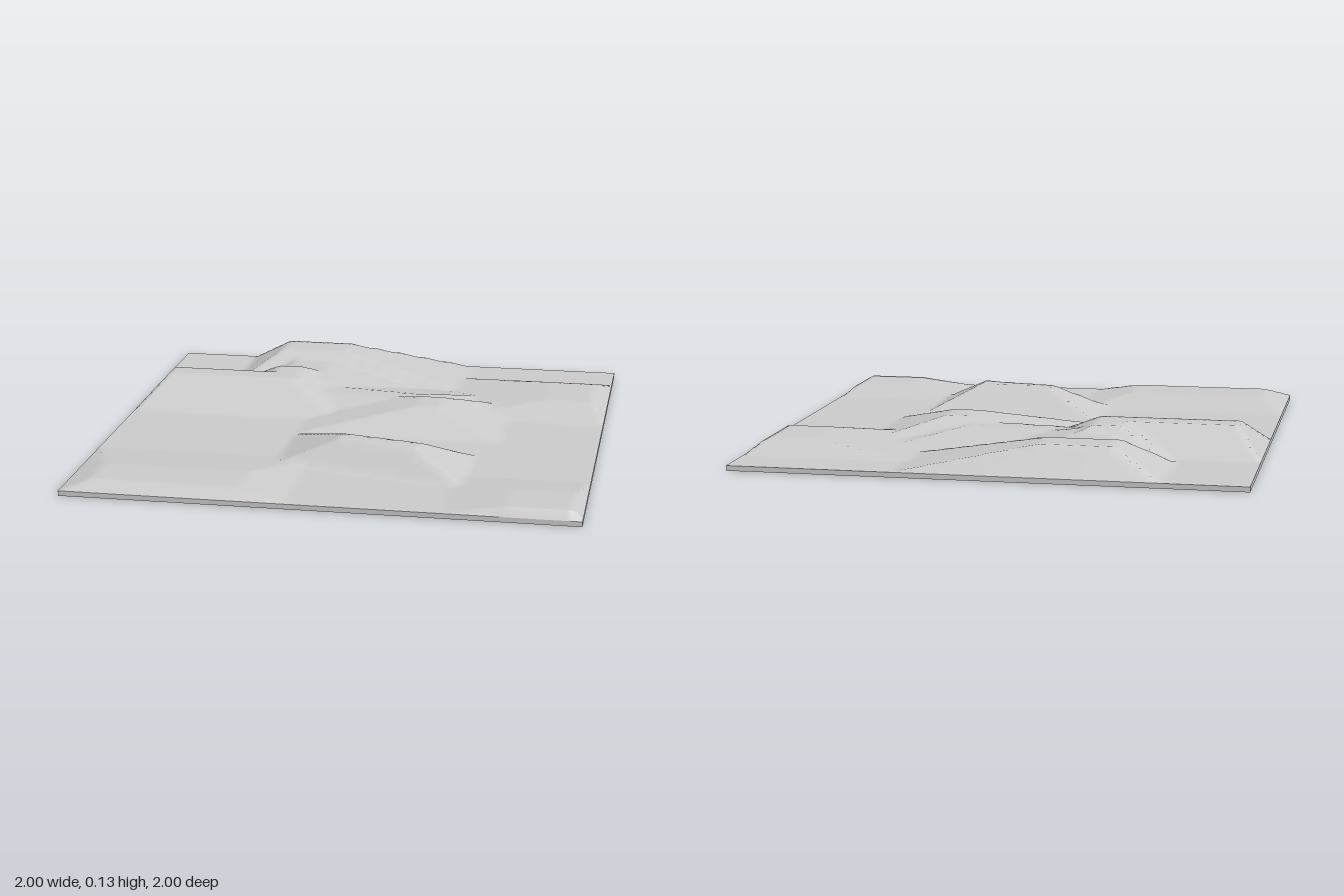
import * as THREE from 'three';

const BASE = 0.02;

// Each hill is a sloped mesa: x and z hold [foot, crest, crest, foot],
// h is its rise above the base, skew slides the crest along z as x grows.
const hills = [
  { x: [-1, -0.9, -0.35, -0.1], z: [-0.55, -0.38, -0.28, -0.07], h: 0.11 },       // left ridge
  { x: [-0.65, -0.45, -0.33, -0.1], z: [-0.64, -0.48, -0.28, -0.1], h: 0.11 },    // ridge shoulder
  { x: [-0.67, -0.49, -0.2, 0.35], z: [-1, -0.9, -0.75, -0.6], h: 0.11 },         // back hill
  { x: [-0.6, -0.42, -0.25, 0.15], z: [-1, -0.75, -0.4, -0.2], h: 0.08 },         // back saddle
  { x: [-0.5, -0.25, 0.2, 0.5], z: [-0.6, -0.32, -0.22, -0.05], h: 0.06, skew: 0.15 }, // middle saddle
  { x: [-0.25, 0.22, 0.32, 0.6], z: [-0.42, -0.22, -0.07, 0.13], h: 0.08 },       // middle hill
  { x: [-0.25, 0, 0.32, 0.52], z: [0.22, 0.44, 0.51, 0.62], h: 0.1, skew: 0.22 }, // front hill
  { x: [0.3, 0.75, 0.95, 1], z: [-0.8, -0.65, -0.38, -0.18], h: 0.045 },          // right rise
  { x: [-1, -0.89, -0.31, -0.12], z: [0.45, 0.75, 0.95, 1], h: 0.035 },           // front left rise
  { x: [0.47, 0.72, 0.97, 1], z: [0.56, 0.77, 0.98, 1], h: 0.032 },               // front right rise
];

// 0 outside the feet, 1 between the crests, straight slopes in between
function ramp(v, [a, b, c, d]) {
  return THREE.MathUtils.clamp(Math.min((v - a) / (b - a), (d - v) / (d - c)), 0, 1);
}

function rise(x, z) {
  let top = 0;
  for (const { x: xs, z: zs, h, skew = 0 } of hills) {
    const shifted = z - skew * (x - 0.15);
    top = Math.max(top, h * Math.min(ramp(x, xs), ramp(shifted, zs)));
  }
  return top;
}

export function createModel() {
  const group = new THREE.Group();
  group.name = 'terrainTile';

  // Thin slab whose upper face is lifted into hills; the rim stays at base height
  const geometry = new THREE.BoxGeometry(2, BASE, 2, 100, 1, 100);
  geometry.translate(0, BASE / 2, 0);
  const pos = geometry.attributes.position;
  const normal = geometry.attributes.normal;
  for (let i = 0; i < pos.count; i++) {
    if (normal.getY(i) > 0.5) pos.setY(i, BASE + rise(pos.getX(i), pos.getZ(i)));
  }
  geometry.computeVertexNormals();

  const ground = new THREE.Mesh(geometry, new THREE.MeshStandardMaterial({ color: 0xcccccc }));
  ground.name = 'hillyGround';
  group.add(ground);
  return group;
}
